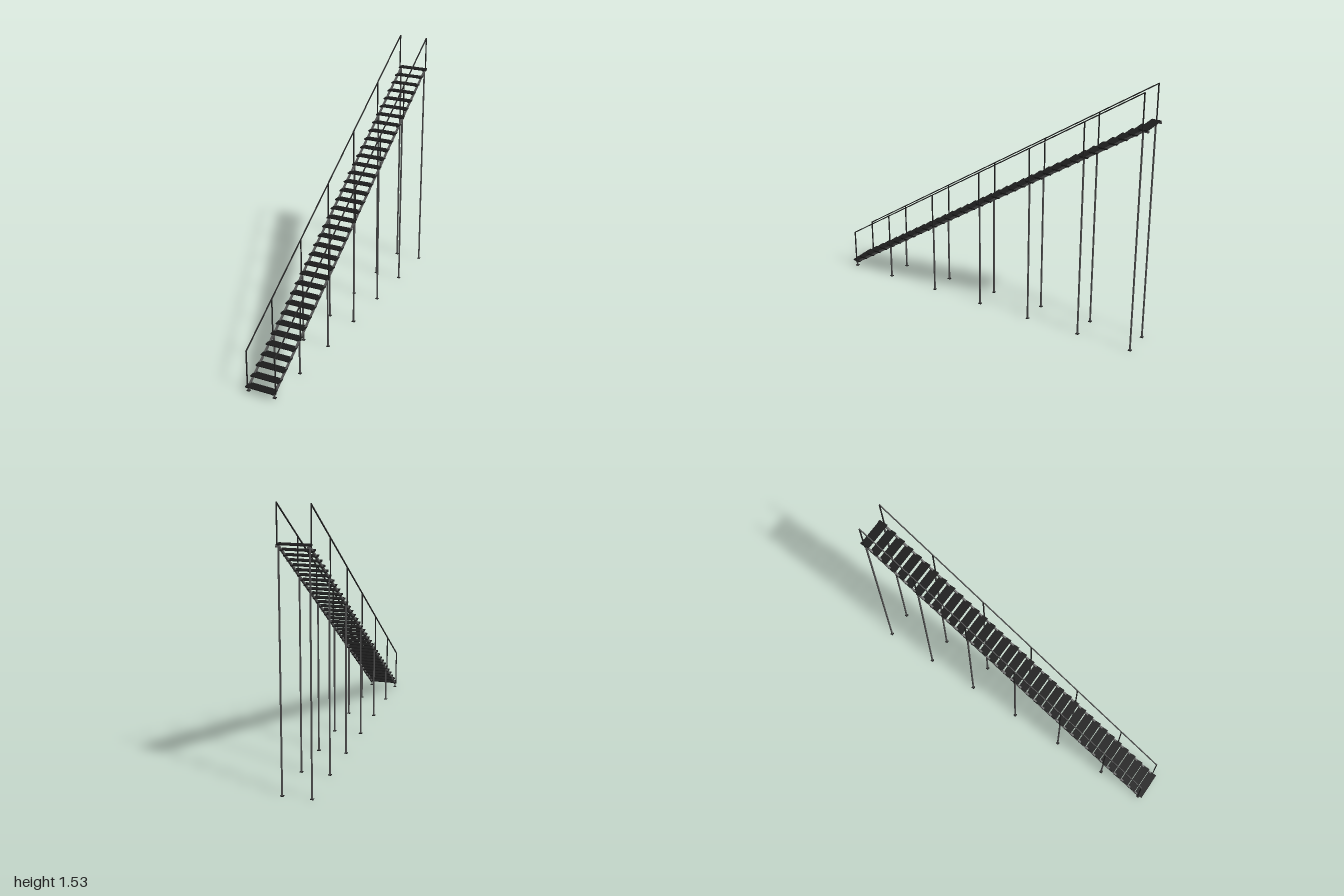
import * as THREE from 'three';

export function createModel() {
  const group = new THREE.Group();
  group.name = 'openStaircase';

  const blackMat = new THREE.MeshStandardMaterial({ color: 0x1c1c1c });
  blackMat.name = 'blackTread';
  const railMat = new THREE.MeshStandardMaterial({ color: 0x262626 });
  railMat.name = 'darkRail';
  const steelMat = new THREE.MeshStandardMaterial({ color: 0x555555 });
  steelMat.name = 'greySteel';

  const steps = 36, run = 0.05545, rise = 0.0369;
  const stepZ = (i) => 0.9735 - i * run;
  const stepY = (i) => 0.0365 + i * rise;
  const stringerX = 0.081, railX = 0.0882;

  function box(name, mat, w, h, d, x, y, z) {
    const m = new THREE.Mesh(new THREE.BoxGeometry(w, h, d), mat);
    m.name = name;
    m.position.set(x, y, z);
    group.add(m);
    return m;
  }

  // Square bar running along the slope between two (y, z) points
  function slopedBar(name, mat, w, h, x, y0, z0, y1, z1) {
    const m = box(name, mat, w, h, Math.hypot(y1 - y0, z1 - z0), x, (y0 + y1) / 2, (z0 + z1) / 2);
    m.rotation.x = Math.atan2(y1 - y0, z0 - z1);
  }

  // Treads with a bearing strip under each end
  for (let i = 0; i < steps; i++) {
    box('tread', blackMat, 0.174, 0.005, 0.053, 0, stepY(i), stepZ(i));
    for (const s of [-1, 1]) {
      box('treadBearer', blackMat, 0.011, 0.004, 0.046, s * stringerX, stepY(i) - 0.0045, stepZ(i));
    }
  }

  const last = steps - 1;
  const postSteps = [0, 5, 11, 17, 23, 29, 35];

  for (const s of [-1, 1]) {
    const x = s * stringerX;

    // Stringer with a level end at the top
    slopedBar('stringer', steelMat, 0.01, 0.011, x, stepY(0) - 0.011, stepZ(0), stepY(last) - 0.01, stepZ(last));
    box('stringerEnd', steelMat, 0.01, 0.01, 0.038, x, stepY(last) - 0.008, -0.981);

    // Handrail
    slopedBar('handrail', railMat, 0.006, 0.006, s * railX, 0.24, stepZ(0) + 0.002, 0.24 + last * rise, stepZ(last) - 0.002);

    for (const i of postSteps) {
      const z = stepZ(i), top = stepY(i) - 0.006;

      // Support leg and its foot plate
      box('supportLeg', steelMat, 0.008, top, 0.008, x, top / 2, z);
      box('footPlate', blackMat, 0.018, 0.003, 0.018, x, 0.0015, z);

      // Railing post fixed to the outside of the stringer
      const low = stepY(i) - 0.012, high = 0.24 + i * rise;
      box('railPost', railMat, 0.006, high - low, 0.006, s * railX, (high + low) / 2, z);
    }
  }
  return group;
}
